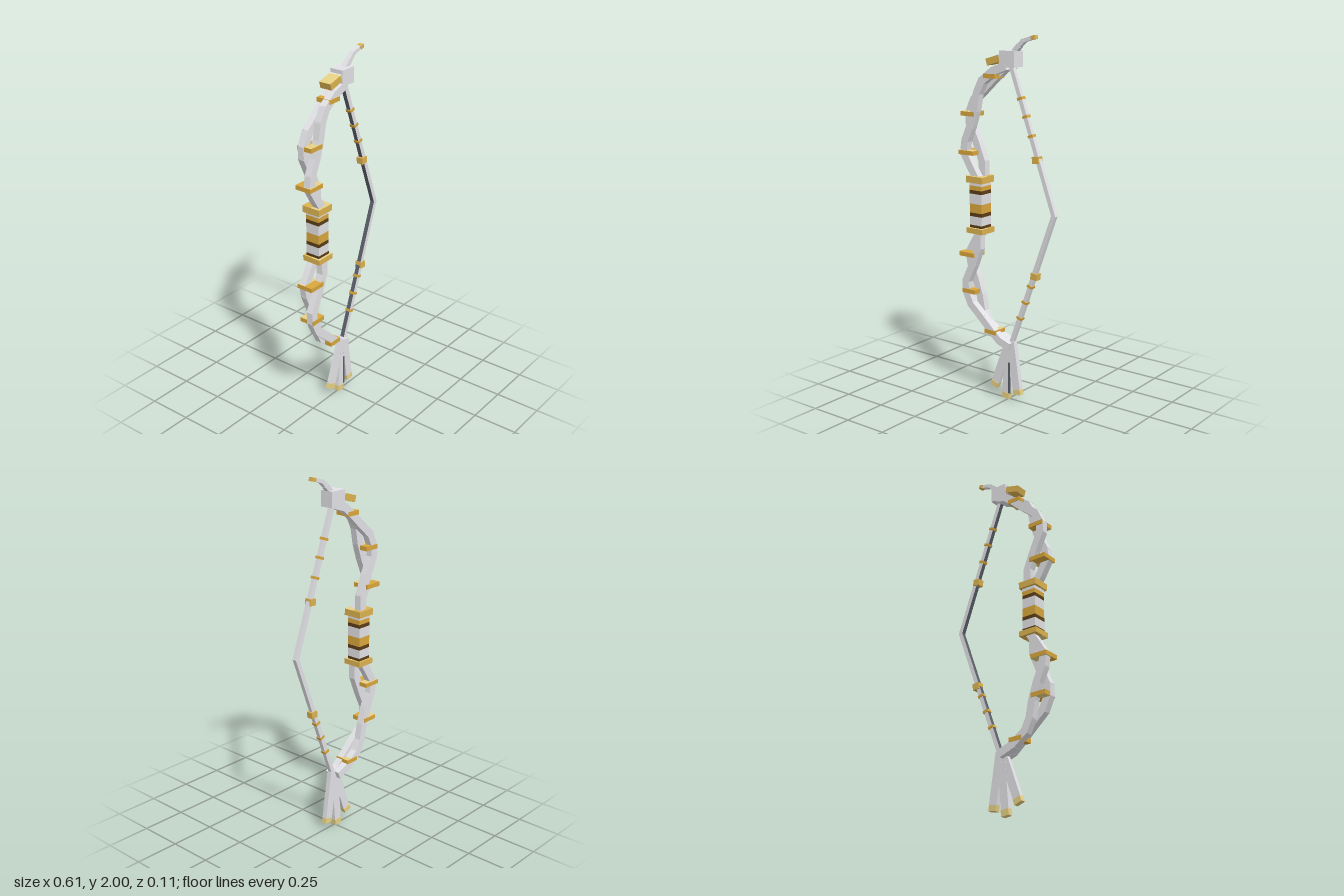
import * as THREE from 'three';

const mat = (name, color) => {
  const m = new THREE.MeshStandardMaterial({ color });
  m.name = name;
  return m;
};

export function createModel() {
  const silver = mat('silver', 0xe2e2e6);
  const gold = mat('gold', 0xd9a63c);
  const midGold = mat('midGold', 0xdcb250);
  const paleGold = mat('paleGold', 0xe8d286);
  const brown = mat('darkBrown', 0x5a3d18);
  const slate = mat('slate', 0x5a606a);
  const root = new THREE.Group();
  root.name = 'bow';

  // Axis box, optionally turned about z
  const box = (parent, name, m, w, h, d, x, y, z = 0, rot = 0) => {
    const mesh = new THREE.Mesh(new THREE.BoxGeometry(w, h, d), m);
    mesh.name = name;
    mesh.position.set(x, y, z);
    mesh.rotation.z = rot;
    parent.add(mesh);
  };
  // Square bar running from a to b in the xy plane
  const bar = (parent, name, m, a, b, w, d, z = 0, extra = 0) => {
    const dx = b[0] - a[0], dy = b[1] - a[1];
    box(parent, name, m, w, Math.hypot(dx, dy) + extra, d,
      (a[0] + b[0]) / 2, (a[1] + b[1]) / 2, z, Math.atan2(-dx, dy));
  };
  const chain = (parent, name, pts, w, d, z) => {
    for (let i = 1; i < pts.length; i++)
      bar(parent, name, silver, pts[i - 1], pts[i], w, d, z, 0.012);
  };
  // Flat plate whose front half has pale upper and lower faces
  const plate = (parent, name, m, w, h, d, x, y) => {
    box(parent, name, m, w, h, d / 2, x, y, -d / 4);
    box(parent, name, [m, m, paleGold, paleGold, m, m], w, h, d / 2, x, y, d / 4);
  };

  // Grip: stacked bands between two collars
  const grip = new THREE.Group();
  grip.name = 'grip';
  root.add(grip);
  const bands = [
    [0.95, 0.972, brown], [0.972, 1.02, silver], [1.02, 1.04, brown], [1.04, 1.09, gold],
    [1.09, 1.145, silver], [1.145, 1.165, brown], [1.165, 1.19, gold], [1.19, 1.21, silver],
  ];
  for (const [lo, hi, m] of bands)
    box(grip, 'gripBand', m, 0.082, hi - lo, 0.082, -0.195, (lo + hi) / 2);
  plate(grip, 'upperCollar', midGold, 0.108, 0.036, 0.108, -0.195, 1.225);
  plate(grip, 'lowerCollar', midGold, 0.108, 0.03, 0.108, -0.195, 0.942);

  // One limb: two crossing strands held by three clasps
  const makeLimb = (name) => {
    const limb = new THREE.Group();
    limb.name = name;
    chain(limb, 'innerStrand', [[-0.185, 1.22], [-0.185, 1.32], [-0.225, 1.42], [-0.272, 1.52],
      [-0.272, 1.58], [-0.24, 1.65], [-0.165, 1.715], [-0.1, 1.775], [-0.04, 1.825], [0.02, 1.845]],
    0.044, 0.038, -0.02);
    chain(limb, 'outerStrand', [[-0.195, 1.23], [-0.235, 1.29], [-0.28, 1.365], [-0.27, 1.43],
      [-0.235, 1.51], [-0.205, 1.6], [-0.188, 1.69], [-0.155, 1.755], [-0.08, 1.81], [0, 1.84]],
    0.044, 0.038, 0.02);
    plate(limb, 'clasp', gold, 0.1, 0.024, 0.096, -0.257, 1.366);
    plate(limb, 'clasp', gold, 0.09, 0.024, 0.088, -0.247, 1.576);
    plate(limb, 'clasp', gold, 0.078, 0.024, 0.084, -0.1, 1.784);
    return limb;
  };
  root.add(makeLimb('upperLimb'));
  // The lower limb is the upper one turned half round the x axis
  const lower = makeLimb('lowerLimb');
  lower.rotation.x = Math.PI;
  lower.position.y = 2.166;
  root.add(lower);

  // Head block with stub and curved horn
  const head = new THREE.Group();
  head.name = 'head';
  root.add(head);
  box(head, 'headBlock', silver, 0.096, 0.084, 0.076, 0.013, 1.877);
  bar(head, 'stubBase', silver, [-0.02, 1.884], [-0.055, 1.874], 0.036, 0.068);
  bar(head, 'stub', [paleGold, midGold, midGold, midGold, midGold, midGold],
    [-0.04, 1.879], [-0.122, 1.855], 0.036, 0.07);
  const horn = [[0.03, 1.905], [0.068, 1.945], [0.098, 1.972], [0.15, 1.988]];
  for (let i = 1; i < horn.length; i++)
    bar(head, 'horn', silver, horn[i - 1], horn[i], 0.031 - i * 0.004, 0.03 - i * 0.002, 0, 0.006);
  bar(head, 'hornTip', midGold, [0.148, 1.987], [0.173, 1.993], 0.02, 0.028);

  // String drawn to a point, dark on its inner face, with bands and a bead on each half
  const string = new THREE.Group();
  string.name = 'string';
  root.add(string);
  const halves = [
    { s: 1, inner: 0, ys: [1.677, 1.585, 1.487], bead: [0.183, 1.367] },
    { s: -1, inner: 1, ys: [0.68, 0.585, 0.49], bead: [0.177, 0.741] },
  ];
  for (const { s, inner, ys, bead } of halves) {
    const faces = Array.from({ length: 6 }, (_, i) => (i === inner ? slate : silver));
    bar(string, 'stringHalf', faces, [0.02, 1.085 + s * 0.755], [0.295, 1.085],
      0.024, 0.024, 0, 0.006);
    for (const y of ys) {
      const x = 0.02 + 0.275 * (1 - Math.abs(y - 1.085) / 0.755);
      box(string, 'stringBand', gold, 0.032, 0.014, 0.032, x, y, 0, s * 0.349);
    }
    box(string, 'stringBead', midGold, 0.04, 0.036, 0.038, ...bead, 0, s * 0.1);
  }

  // Tail: three gold-tipped blades and a dark sliver on the front
  const tail = new THREE.Group();
  tail.name = 'tail';
  root.add(tail);
  const blades = [
    [[0.008, 0.345], [-0.097, 0.058]],
    [[0.012, 0.345], [-0.016, 0.006]],
    [[0.02, 0.345], [0.066, 0.043]],
  ];
  blades.forEach(([a, b], i) => {
    const joint = [b[0] + (a[0] - b[0]) * 0.1, b[1] + (a[1] - b[1]) * 0.1];
    bar(tail, 'tailBlade', silver, a, joint, 0.048, 0.024 + i * 0.002);
    bar(tail, 'tailTip', paleGold, joint, b, 0.047, 0.03);
  });
  bar(tail, 'tailSliver', slate, [0.012, 0.22], [0.012, 0.04], 0.014, 0.004, 0.0123);
  return root;
}
